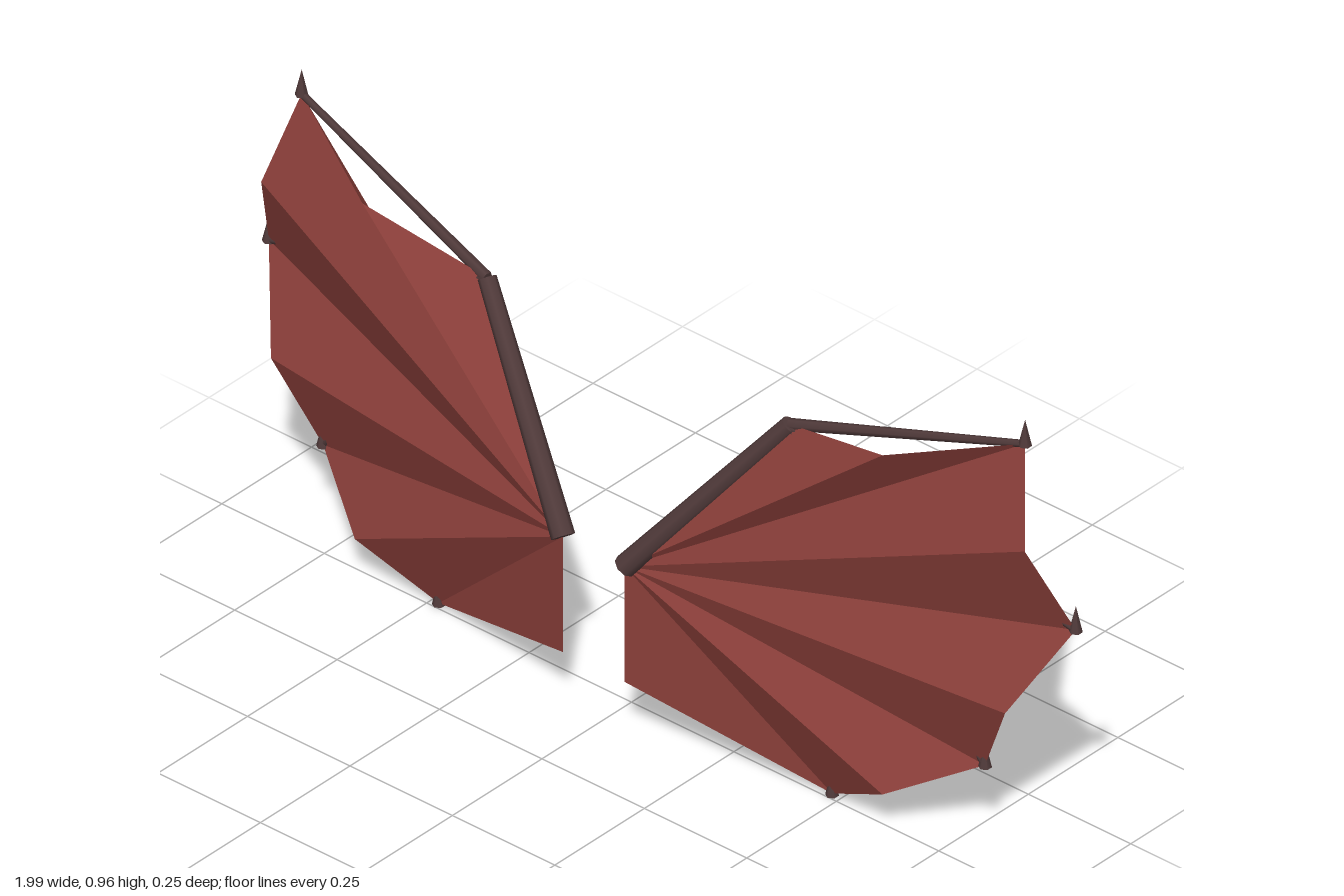
import * as THREE from 'three';

const V = (x, y, z) => new THREE.Vector3(x, y, z);

export function createModel() {
  const membraneMat = new THREE.MeshStandardMaterial({ color: 0x8b3f3a, side: THREE.DoubleSide, flatShading: true });
  membraneMat.name = 'wing membrane red';
  const boneMat = new THREE.MeshStandardMaterial({ color: 0x503a3a });
  boneMat.name = 'dark bone';

  // Joints of the model's left wing (+x)
  const root = V(0.075, 0.385, 0.105);
  const elbow = V(0.37, 0.765, -0.02);
  const tips = [V(0.883, 0.912, -0.089), V(0.985, 0.533, -0.114), V(0.808, 0.183, -0.063), V(0.48, 0.003, -0.011)];
  // Outline of the membrane: billows forward between finger tips
  const rim = [
    elbow, V(0.635, 0.835, 0.025),
    tips[0], V(0.932, 0.724, -0.032),
    tips[1], V(0.896, 0.358, -0.018),
    tips[2], V(0.644, 0.096, 0.036),
    tips[3], V(0.075, 0.13, 0.105),
  ];

  // Tapered bone between two points
  function bone(name, a, b, rA, rB, sides) {
    const dir = b.clone().sub(a);
    const mesh = new THREE.Mesh(new THREE.CylinderGeometry(rB, rA, dir.length(), sides), boneMat);
    mesh.position.copy(a).add(b).multiplyScalar(0.5);
    mesh.quaternion.setFromUnitVectors(V(0, 1, 0), dir.normalize());
    mesh.name = name;
    return mesh;
  }

  // Pleated fan from the root to the rim
  function membrane(at, s) {
    const points = [];
    const centre = at(root);
    for (let i = 0; i < rim.length - 1; i++) {
      const a = at(rim[i]), b = at(rim[i + 1]);
      points.push(centre, ...(s > 0 ? [b, a] : [a, b]));
    }
    const geo = new THREE.BufferGeometry().setFromPoints(points);
    geo.computeVertexNormals();
    const mesh = new THREE.Mesh(geo, membraneMat);
    mesh.name = 'membrane';
    return mesh;
  }

  function wing(s, name) {
    const at = (p) => V(p.x * s, p.y, p.z);
    const g = new THREE.Group();
    g.name = name;
    g.add(membrane(at, s));
    g.add(bone('armBone', at(root), at(elbow), 0.023, 0.018, 8));
    tips.forEach((tip, i) => {
      g.add(bone('fingerBone' + (i + 1), at(elbow), at(tip), 0.012, 0.007, 6));
      // Upright claw standing on the finger tip
      const claw = new THREE.Mesh(new THREE.ConeGeometry(0.013, 0.056, 6), boneMat);
      claw.position.copy(at(tip));
      claw.position.y += 0.025;
      claw.name = 'claw' + (i + 1);
      g.add(claw);
    });
    return g;
  }

  const model = new THREE.Group();
  model.name = 'wings';
  model.add(wing(1, 'leftWing'), wing(-1, 'rightWing'));
  return model;
}
